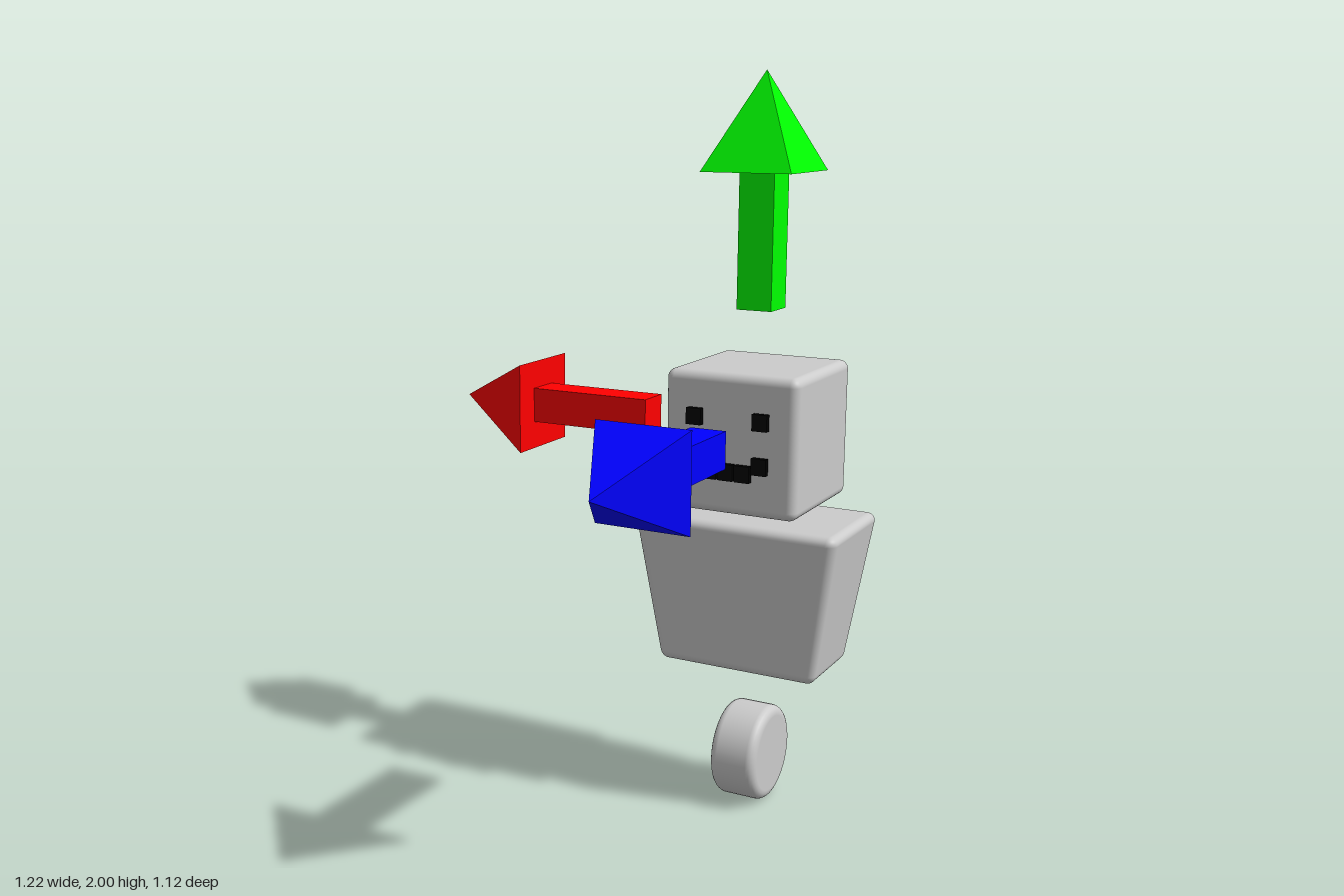
import * as THREE from 'three';
import { RoundedBoxGeometry } from 'three/addons/geometries/RoundedBoxGeometry.js';

const CX = 0.32, CZ = -0.375, HEAD_Y = 1.05, ARROW_Y = 1.068;

const grey = new THREE.MeshStandardMaterial({ color: 0xcccccc });
const black = new THREE.MeshStandardMaterial({ color: 0x000000 });

function addMesh(parent, name, geometry, material, x = 0, y = 0, z = 0) {
  const mesh = new THREE.Mesh(geometry, material);
  mesh.name = name;
  mesh.position.set(x, y, z);
  parent.add(mesh);
  return mesh;
}

// Rounded box whose width and depth change linearly from bottom to top
function taperedBox(bottomW, topW, bottomD, topD, height, radius) {
  const w = (bottomW + topW) / 2, d = (bottomD + topD) / 2;
  const geo = new RoundedBoxGeometry(w, height, d, 4, radius);
  const p = geo.attributes.position, n = geo.attributes.normal;
  const ds = (topW - bottomW) / w / height, dt = (topD - bottomD) / d / height;
  const v = new THREE.Vector3();
  for (let i = 0; i < p.count; i++) {
    const x = p.getX(i), y = p.getY(i), z = p.getZ(i);
    const s = 1 + ds * y, t = 1 + dt * y;
    p.setXYZ(i, x * s, y, z * t);
    const nx = n.getX(i), nz = n.getZ(i);
    v.set(nx / s, n.getY(i) - nx * x * ds / s - nz * z * dt / t, nz / t).normalize();
    n.setXYZ(i, v.x, v.y, v.z);
  }
  return geo;
}

// Wheel turned about x, with rounded rims
function wheelGeometry(radius, width, r) {
  const h = width / 2, pts = [new THREE.Vector2(0, -h), new THREE.Vector2(radius - r - 0.004, -h)];
  for (const side of [-1, 1]) {
    for (let i = 0; i <= 5; i++) {
      const a = (side < 0 ? -Math.PI / 2 : 0) + (i / 5) * Math.PI / 2;
      pts.push(new THREE.Vector2(radius - r + r * Math.cos(a), side * (h - r) + r * Math.sin(a)));
    }
  }
  pts.push(new THREE.Vector2(radius - r - 0.004, h), new THREE.Vector2(0, h));
  return new THREE.LatheGeometry(pts, 48).rotateZ(Math.PI / 2);
}

// Square arrow along +y, starting at the origin
function arrow(name, color) {
  const group = new THREE.Group();
  group.name = name;
  const material = new THREE.MeshStandardMaterial({ color, flatShading: true });
  const shaft = 0.359, tip = 0.256, base = 0.253;
  addMesh(group, 'arrowShaft', new THREE.BoxGeometry(0.098, shaft, 0.098), material, 0, shaft / 2, 0);
  const pyramid = new THREE.ConeGeometry(base / Math.SQRT2, tip, 4).rotateY(Math.PI / 4);
  addMesh(group, 'arrowTip', pyramid, material, 0, shaft + tip / 2, 0);
  return group;
}

export function createModel() {
  const model = new THREE.Group();
  model.name = 'robotWithAxisArrows';

  // Robot
  addMesh(model, 'head', new RoundedBoxGeometry(0.375, 0.375, 0.375, 4, 0.024), grey, CX, HEAD_Y, CZ);
  addMesh(model, 'body', taperedBox(0.452, 0.586, 0.248, 0.336, 0.424, 0.024), grey, CX, 0.616, CZ);
  addMesh(model, 'wheel', wheelGeometry(0.134, 0.134, 0.024), grey, CX, 0.135, CZ);

  // Face made of small tiles floating in front of the head
  const face = new THREE.Group();
  face.name = 'face';
  face.position.set(CX, 0, -0.17);
  model.add(face);
  const tile = new THREE.BoxGeometry(0.042, 0.044, 0.016), pitch = 0.0465;
  for (const side of [-1, 1]) {
    addMesh(face, 'eye', tile, black, side * 2 * pitch, 1.122, 0);
    addMesh(face, 'mouthCorner', tile, black, side * 2 * pitch, 1.006, 0);
  }
  for (let i = -1; i <= 1; i++) addMesh(face, 'mouthTile', tile, black, i * pitch, 0.982, 0);

  // Axis arrows
  const up = arrow('upArrow', 0x00ff00);
  up.position.set(CX, 1.385, CZ);
  const side = arrow('sideArrow', 0xff0000);
  side.position.set(0.003, ARROW_Y, CZ);
  side.rotation.z = Math.PI / 2;
  const front = arrow('frontArrow', 0x0000ff);
  front.position.set(CX, ARROW_Y, -0.057);
  front.rotation.x = Math.PI / 2;
  model.add(up, side, front);

  return model;
}
